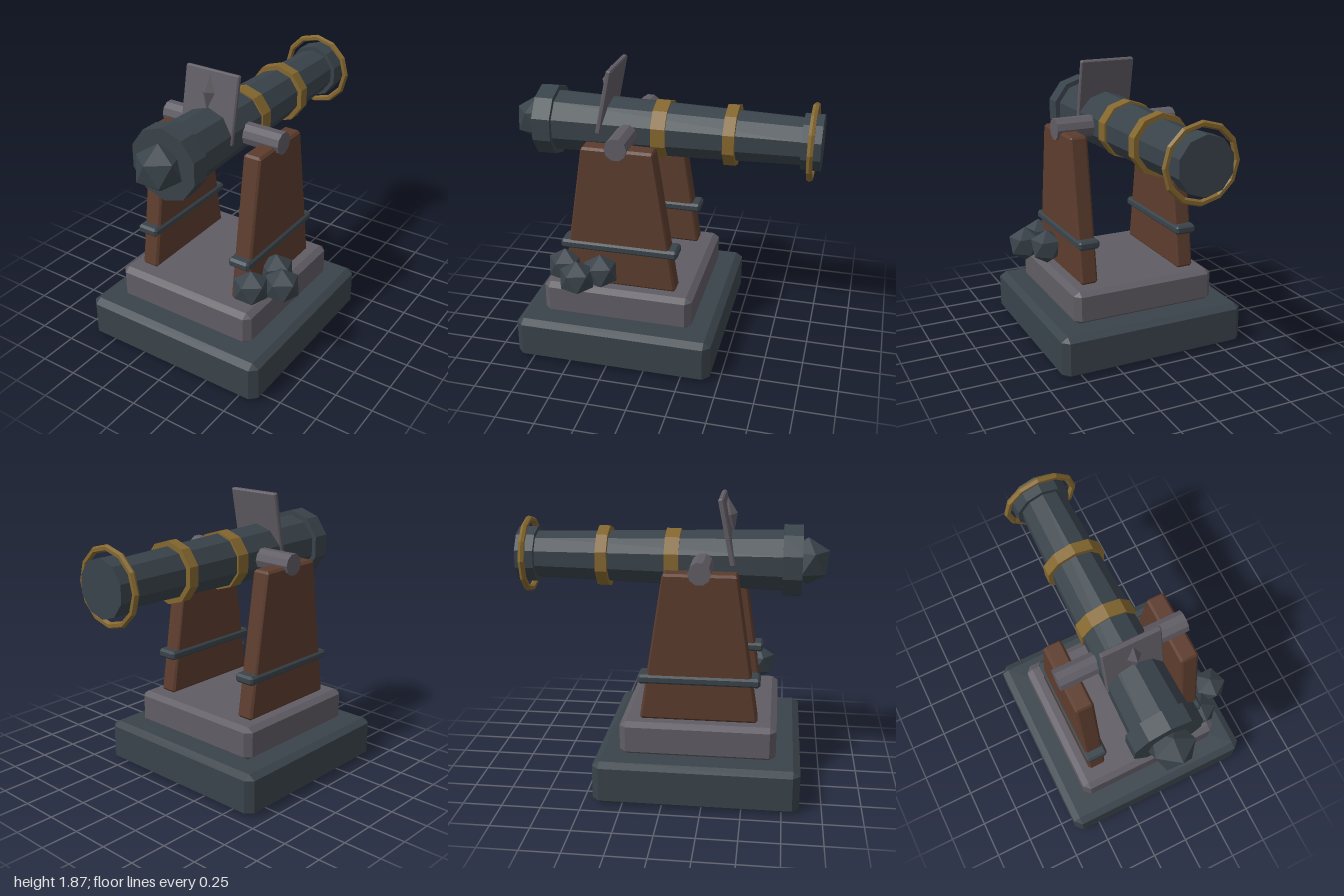
import * as THREE from 'three';
import { ConvexGeometry } from 'three/addons/geometries/ConvexGeometry.js';

const material = (name, color) => {
  const m = new THREE.MeshStandardMaterial({ color });
  m.name = name;
  return m;
};

// Faceted normals for low-poly parts
const facet = (geometry) => {
  const g = geometry.index ? geometry.toNonIndexed() : geometry;
  g.computeVertexNormals();
  return g;
};

// Box with chamfered edges; c is the chamfer across, cy the chamfer up, taper scales depth at the top
function chamferBox(w, h, d, c, cy = c, taper = 1) {
  const points = [];
  for (const sx of [-1, 1]) for (const sy of [-1, 1]) for (const sz of [-1, 1]) {
    for (let out = 0; out < 3; out++) {
      const x = sx * (w / 2 - (out === 0 ? 0 : c));
      const y = sy * (h / 2 - (out === 1 ? 0 : cy));
      const z = sz * (d / 2 - (out === 2 ? 0 : c));
      points.push(new THREE.Vector3(x, y, z * (1 + (taper - 1) * (y / h + 0.5))));
    }
  }
  return new ConvexGeometry(points);
}

// Ten-sided tube section lying along z
const section = (front, back, length) =>
  facet(new THREE.CylinderGeometry(front, back, length, 10).rotateX(Math.PI / 2));

// Icosahedron standing on one of its corners
const ball = (r) => facet(new THREE.IcosahedronGeometry(r, 0)
  .rotateX(-Math.atan((1 + Math.sqrt(5)) / 2)));

export function createModel() {
  const iron = material('dark iron', 0x39434a);
  const stone = material('grey stone', 0x605c64);
  const wood = material('brown wood', 0x5c3c2d);
  const brass = material('aged brass', 0x84672f);

  const model = new THREE.Group();
  model.name = 'cannon';
  const body = new THREE.Group();
  body.name = 'cannonBody';
  body.position.x = -0.02;
  model.add(body);

  const add = (name, geometry, mat, x, y, z) => {
    const mesh = new THREE.Mesh(geometry, mat);
    mesh.name = name;
    mesh.position.set(x, y, z);
    body.add(mesh);
    return mesh;
  };
  const axisY = 1.46, midZ = 0.21;

  // Stepped base
  add('base', chamferBox(1.3, 0.28, 1.3, 0.045, 0.03), iron, 0, 0.14, midZ);
  add('plinth', chamferBox(1, 0.22, 0.99, 0.04, 0.027), stone, 0, 0.39, midZ);

  // Tapered side posts with iron straps
  for (const [side, s] of [['left', 1], ['right', -1]]) {
    add(side + 'Post', chamferBox(0.12, 0.95, 0.75, 0.015, 0.015, 0.61), wood, s * 0.352, 0.975, midZ);
    add(side + 'Strap', chamferBox(0.145, 0.06, 0.77, 0.015), iron, s * 0.352, 0.77, midZ);
  }

  // Trunnion bar across the posts
  add('trunnion', facet(new THREE.CylinderGeometry(0.072, 0.072, 0.86, 10).rotateZ(Math.PI / 2)),
    stone, 0, axisY, midZ);

  // Barrel with muzzle and breech rings
  add('barrel', section(0.2, 0.153, 1.62), iron, 0, axisY, -0.08);
  add('muzzleRing', section(0.232, 0.232, 0.12), iron, 0, axisY, 0.767);
  add('breechRing', section(0.182, 0.182, 0.12), iron, 0, axisY, -0.94);
  add('muzzleBall', ball(0.153), iron, 0, axisY, 0.863);

  // Brass bands and breech hoop
  add('frontBand', section(0.192, 0.192, 0.093), brass, 0, axisY, 0.01);
  add('rearBand', section(0.199, 0.199, 0.073), brass, 0, axisY, -0.438);
  add('breechHoop', facet(new THREE.TorusGeometry(0.23, 0.021, 6, 12)), brass, 0, axisY, -0.94);

  // Tilted shield plate with a pointed boss
  const shield = add('shield', chamferBox(0.38, 0.43, 0.034, 0.008), stone, 0, 1.662, 0.357);
  shield.rotation.x = -0.2;
  const boss = add('shieldBoss',
    facet(new THREE.OctahedronGeometry(1, 0).scale(0.045, 0.112, 0.042)), stone, 0, 1.75, 0.372);
  boss.rotation.x = -0.2;

  // Pile of shot
  [[0.46, 0.32], [0.575, 0.44], [0.43, 0.565]].forEach(([x, z], i) =>
    add('shot' + (i + 1), ball(0.12), iron, x, 0.62, z));

  return model;
}
